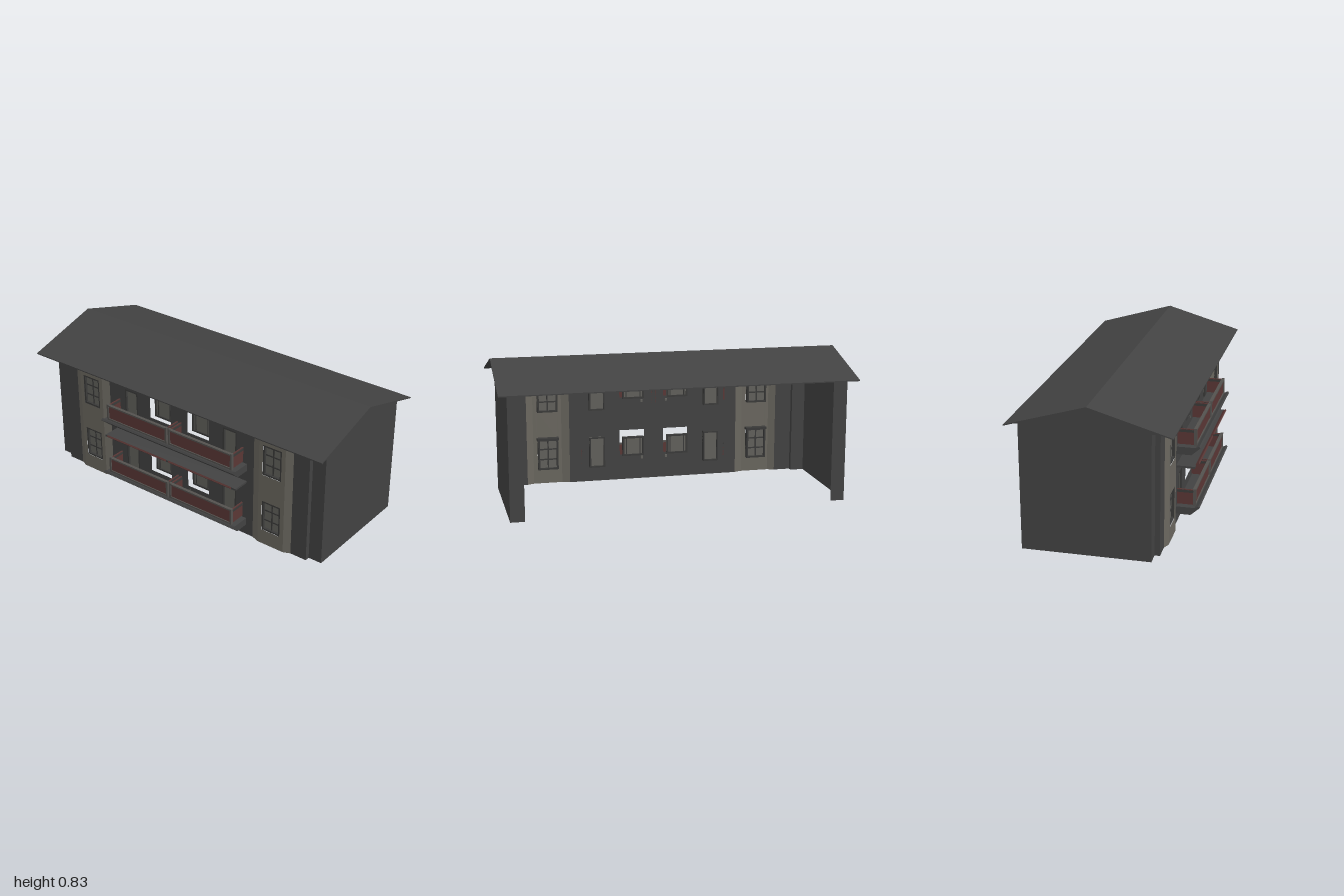
import * as THREE from 'three';

const mat = (name, color, side = THREE.FrontSide) => {
  const m = new THREE.MeshStandardMaterial({ color, side });
  m.name = name;
  return m;
};

export function createModel() {
  const group = new THREE.Group();
  const wall = mat('dark wall', 0x424242, THREE.DoubleSide);
  const roofMat = mat('roof grey', 0x424242);
  const stone = mat('pale stone', 0x6a675f, THREE.DoubleSide);
  const frame = mat('window frame', 0x3a3a39);
  const glass = mat('window glass', 0x62615c);
  const red = mat('dark red panel', 0x5a3735);
  const slabMat = mat('concrete slab', 0x424242);
  const trim = mat('rail grey', 0x53514e);

  const add = (name, geo, m) => {
    const mesh = new THREE.Mesh(geo, m);
    mesh.name = name;
    group.add(mesh);
    return mesh;
  };
  const box = (name, m, x0, x1, y0, y1, z0, z1) => {
    const g = new THREE.BoxGeometry(Math.abs(x1 - x0), y1 - y0, Math.abs(z1 - z0));
    g.translate((x0 + x1) / 2, (y0 + y1) / 2, (z0 + z1) / 2);
    return add(name, g, m);
  };
  const poly = (pts) => new THREE.Shape(pts.map(([x, y]) => new THREE.Vector2(x, y)));
  const rect = (a, b, c, d) => [[a, c], [b, c], [b, d], [a, d]];
  // profile in x,y pulled along z
  const along = (name, m, pts, z0, z1) => {
    const g = new THREE.ExtrudeGeometry(poly(pts), { depth: z1 - z0, bevelEnabled: false });
    return add(name, g.translate(0, 0, z0), m);
  };
  // upright sheet facing -x, with rectangular holes given as [z0, z1, y0, y1]
  const sheet = (name, m, x, z0, z1, y1, holes = []) => {
    const s = poly(rect(z0, z1, 0, y1));
    holes.forEach((h) => s.holes.push(poly(rect(...h))));
    const g = new THREE.ShapeGeometry(s).rotateY(-Math.PI / 2).translate(x, 0, 0);
    return add(name, g, m);
  };
  // upright strip between two plan points [x, z]
  const strip = (name, m, a, b, h) => {
    const len = Math.hypot(b[0] - a[0], b[1] - a[1]);
    const g = new THREE.PlaneGeometry(len, h);
    g.rotateY(-Math.atan2(b[1] - a[1], b[0] - a[0]));
    g.translate((a[0] + b[0]) / 2, h / 2, (a[1] + b[1]) / 2);
    return add(name, g, m);
  };

  const F = -0.328, BAY = -0.345, H = 0.695;
  const floors = [0, 0.35];

  // Roof
  along('roof', roofMat, [[-0.42, 0.699], [-0.42, 0.705], [0.02, 0.833], [0.455, 0.705],
    [0.455, 0.699], [0.02, 0.826]], -1, 1);

  // End walls and gables
  for (const s of [-1, 1]) {
    const g = new THREE.ShapeGeometry(poly(rect(-0.3, 0.395, 0, 0.7)));
    add('endWall', g, wall).position.z = s * 0.95;
    const tri = s > 0
      ? [[-0.42, 0.699], [-0.13, 0.699], [-0.13, 0.67], [0.165, 0.67], [0.165, 0.699], [0.455, 0.699], [0.02, 0.828]]
      : [[-0.42, 0.699], [0.455, 0.699], [0.02, 0.828]];
    add('gable', new THREE.ShapeGeometry(poly(tri)), wall).position.z = s * 0.953;

    // Corner returns and step out to the bay
    strip('rearCorner', wall, [0.395, s * 0.95], [0.395, s * 0.87], H);
    strip('facadeCorner', wall, [-0.3, s * 0.95], [-0.3, s * 0.87], H);
    strip('cornerStep', wall, [-0.3, s * 0.87], [F, s * 0.87], H);
    strip('stepWall', wall, [F, s * 0.87], [F, s * 0.77], H);

    // Bay with canted sides
    strip('bayCant', stone, [F, s * 0.77], [BAY, s * 0.73], H);
    strip('bayCant', stone, [BAY, s * 0.56], [F, s * 0.515], H);
    const zs = [s * 0.73, s * 0.56].sort((a, b) => a - b);
    const c = s * 0.645;
    sheet('bayFace', stone, BAY, zs[0], zs[1], H,
      floors.map((y) => [c - 0.06, c + 0.06, y + 0.09, y + 0.275]));
  }

  // Main facade with door and window openings
  const holes = [];
  for (const y of floors) for (const s of [-1, 1]) {
    const pair = (a, b) => [s * a, s * b].sort((p, q) => p - q);
    holes.push([...pair(0.06, 0.21), y + 0.155, y + 0.305]);
    holes.push([...pair(0.305, 0.398), y + 0.09, y + 0.275]);
  }
  sheet('facade', wall, F, -0.515, 0.515, H, holes);

  // Framed window: outer frame, glass and bars
  const windowUnit = (x0, x1, y0, y1, z0, z1, cols, rows, t) => {
    const xm = (x0 + x1) / 2;
    box('windowGlass', glass, xm - 0.002, xm + 0.002, y0, y1, z0, z1);
    for (const [a, b] of [[z0, z0 + t], [z1 - t, z1]]) box('windowJamb', frame, x0, x1, y0, y1, a, b);
    for (const [a, b] of [[y0, y0 + t], [y1 - t, y1]]) box('windowRail', frame, x0, x1, a, b, z0, z1);
    for (let i = 1; i < cols; i++) {
      const z = z0 + (z1 - z0) * i / cols;
      box('windowBar', frame, xm - 0.006, xm + 0.006, y0, y1, z - 0.004, z + 0.004);
    }
    for (let i = 1; i < rows; i++) {
      const y = y0 + (y1 - y0) * i / rows;
      box('windowBar', frame, xm - 0.006, xm + 0.006, y - 0.004, y + 0.004, z0, z1);
    }
  };

  for (const y of floors) {
    for (const s of [-1, 1]) {
      const c = s * 0.645;
      windowUnit(BAY + 0.002, BAY + 0.035, y + 0.09, y + 0.275, c - 0.06, c + 0.06, 2, 3, 0.01);
      box('bayLintel', frame, BAY + 0.002, BAY + 0.04, y + 0.268, y + 0.282, c - 0.065, c + 0.065);
      const d = s * 0.3515;
      windowUnit(F, F + 0.03, y + 0.09, y + 0.275, d - 0.0465, d + 0.0465, 1, 1, 0.008);
      const w = s * 0.135;
      windowUnit(-0.3, -0.28, y + 0.155, y + 0.272, w - 0.065, w + 0.065, 1, 1, 0.01);
      for (const k of [-1, 1]) box('windowBar', frame, -0.296, -0.284, y + 0.155, y + 0.272, w + k * 0.042 - 0.003, w + k * 0.042 + 0.003);
      box('vent', glass, F, F + 0.01, y + 0.125, y + 0.14, s * 0.075 - 0.006, s * 0.075 + 0.006);

      // Balcony half: framed red parapet with end panels
      const [z0, z1] = s > 0 ? [0.012, 0.44] : [-0.44, -0.012];
      box('balconyPanel', red, -0.428, -0.42, y + 0.112, y + 0.195, z0, z1);
      box('balconyTopRail', trim, -0.434, -0.416, y + 0.193, y + 0.202, z0, z1);
      box('balconyBottomRail', trim, -0.434, -0.418, y + 0.108, y + 0.117, z0, z1);
      for (const z of [z0, z1]) {
        box('balconyPost', trim, -0.434, -0.418, y + 0.105, y + 0.205, z - 0.006, z + 0.006);
        box('balconySidePanel', red, -0.42, F, y + 0.112, y + 0.2, z - 0.004, z + 0.004);
        box('balconySideRail', frame, -0.42, F, y + 0.182, y + 0.196, z - 0.006, z + 0.006);
      }
    }
    // Balcony slab with raised sloping lip
    along('balconySlab', slabMat, [[-0.41, 0.062 + y], [F, 0.062 + y], [F, 0.105 + y], [-0.432, 0.105 + y],
      [-0.452, 0.115 + y], [-0.459, 0.106 + y]], -0.47, 0.47);
  }

  // Canopy over the lower balconies
  along('canopy', slabMat, [[-0.43, 0.335], [F, 0.335], [F, 0.346], [-0.43, 0.346]], -0.47, 0.47);
  for (const [z0, z1] of [[-0.44, -0.015], [0.015, 0.44]]) {
    along('canopyLip', red, [[-0.43, 0.335], [-0.428, 0.346], [-0.445, 0.361], [-0.45, 0.353]], z0, z1);
  }
  return group;
}
